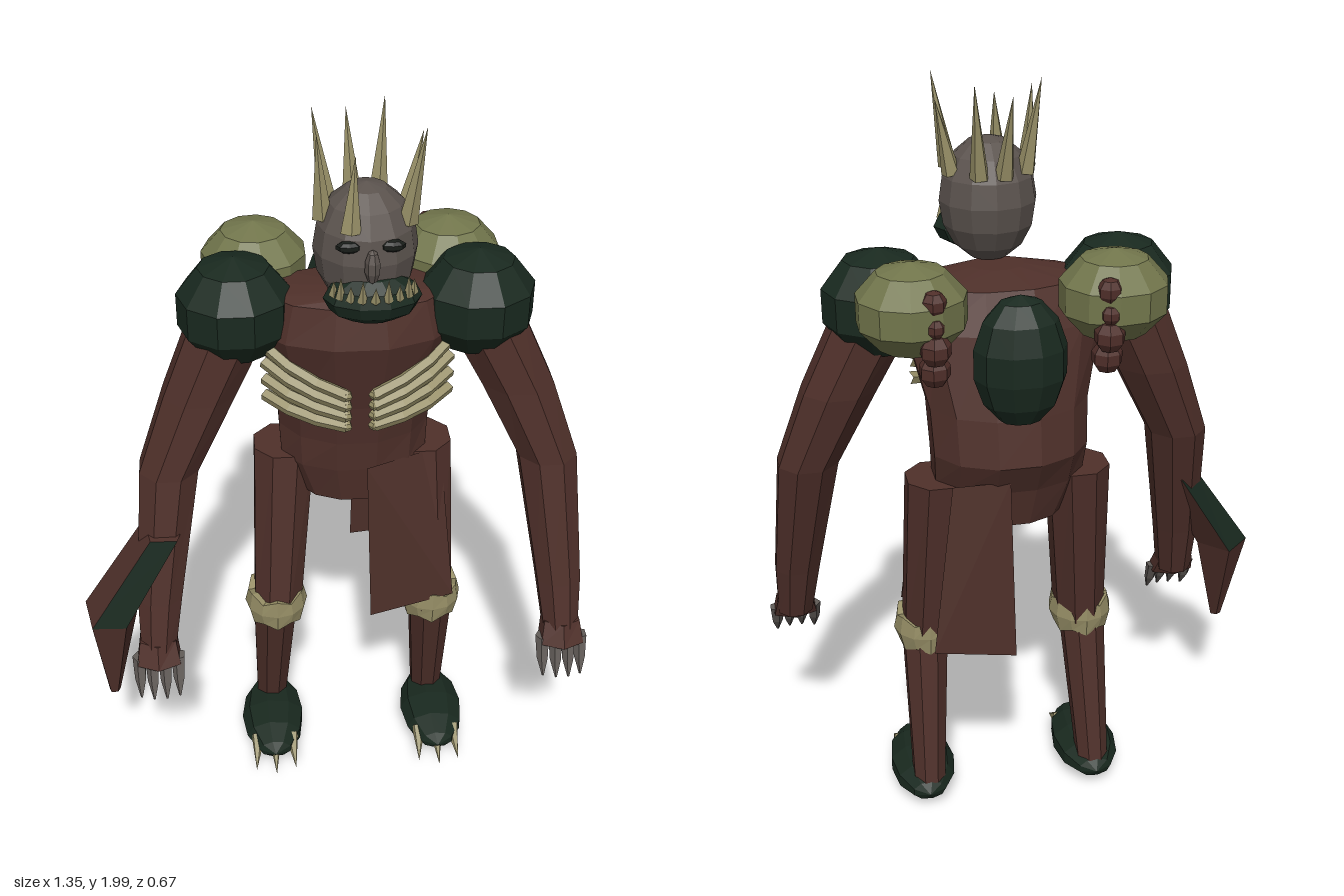
import * as THREE from 'three';

const mat = (name, color, extra = {}) => {
  const m = new THREE.MeshStandardMaterial({ color, flatShading: true, ...extra });
  m.name = name;
  return m;
};
const V = (x, y, z) => new THREE.Vector3(x, y, z);

export function createModel() {
  const hide = mat('brown hide', 0x4f302a);
  const cloth = mat('brown cloth', 0x4d2f29, { side: THREE.DoubleSide });
  const moss = mat('dark green', 0x19291f);
  const olive = mat('olive', 0x72764c);
  const bone = mat('bone', 0x968e66);
  const skull = mat('grey skin', 0x5b534e);
  const claw = mat('grey claw', 0x625c58);
  const red = mat('red brown', 0x4f2e29);
  const dark = mat('dark eye', 0x181c18);

  const model = new THREE.Group();
  const body = new THREE.Group();
  body.name = 'body';
  body.position.x = 0.08;
  body.rotation.y = -0.13;
  model.add(body);

  const add = (name, geo, material) => {
    const mesh = new THREE.Mesh(geo, material);
    mesh.name = name;
    body.add(mesh);
    return mesh;
  };

  // Faceted ellipsoid
  const ball = (name, material, [x, y, z], [rx, ry, rz], w = 10, h = 6) => {
    const m = add(name, new THREE.SphereGeometry(1, w, h), material);
    m.position.set(x, y, z);
    m.scale.set(rx, ry, rz);
    return m;
  };

  // Cone from a base point to a tip
  const spike = (name, material, from, to, r, sides = 5) => {
    const d = to.clone().sub(from);
    const m = add(name, new THREE.ConeGeometry(r, d.length(), sides), material);
    m.position.copy(from).addScaledVector(d, 0.5);
    m.quaternion.setFromUnitVectors(V(0, 1, 0), d.normalize());
    return m;
  };

  // Closed loft through level rings [x, y, z, rx, rz], listed bottom to top
  const loft = (name, material, rings, sides = 8, turn = 0, paint = () => 0) => {
    const pts = rings.map(([x, y, z, rx, rz]) => Array.from({ length: sides }, (_, j) => {
      const a = ((j + 0.5) / sides) * Math.PI * 2 + turn;
      return V(x + rx * Math.cos(a), y, z + rz * Math.sin(a));
    }));
    const buckets = [[], []];
    const last = rings.length - 1;
    const mid = (i) => V(rings[i][0], rings[i][1], rings[i][2]);
    for (let j = 0; j < sides; j++) {
      const k = (j + 1) % sides;
      for (let i = 0; i < last; i++) {
        const [b0, b1, t0, t1] = [pts[i][j], pts[i][k], pts[i + 1][j], pts[i + 1][k]];
        buckets[paint(i, j)].push(b0, t0, b1, b1, t0, t1);
      }
      buckets[0].push(mid(0), pts[0][j], pts[0][k], mid(last), pts[last][k], pts[last][j]);
    }
    const geo = new THREE.BufferGeometry().setFromPoints(buckets.flat());
    if (Array.isArray(material)) {
      geo.addGroup(0, buckets[0].length, 0);
      geo.addGroup(buckets[0].length, buckets[1].length, 1);
    }
    geo.computeVertexNormals();
    return add(name, geo, material);
  };

  // Torso, rising slightly to meet the head
  loft('torso', hide, [
    [0, 0.9, -0.06, 0.15, 0.11],
    [0, 1.01, -0.065, 0.2, 0.135],
    [0, 1.1, -0.085, 0.205, 0.165],
    [0, 1.22, -0.065, 0.21, 0.165],
    [0, 1.42, -0.01, 0.26, 0.16],
    [0, 1.52, 0, 0.23, 0.125],
    [0, 1.54, 0.04, 0.07, 0.06],
  ], 12);

  // Loincloth panels, front and back
  const panel = (name, corners) => {
    const geo = new THREE.BufferGeometry().setFromPoints(
      [0, 2, 1, 0, 3, 2].map((i) => V(...corners[i])));
    geo.computeVertexNormals();
    add(name, geo, cloth);
  };
  panel('frontCloth', [[0.025, 1.03, 0.09], [0.235, 1.015, -0.02], [0.275, 0.575, 0.075], [0.04, 0.545, 0.115]]);
  panel('backCloth', [[0.02, 1.05, -0.215], [0.165, 1.04, -0.195], [0.23, 0.585, -0.24], [0.015, 0.555, -0.25]]);

  // Hump on the back
  ball('backHump', moss, [0, 1.385, -0.24], [0.118, 0.168, 0.09], 10, 7);

  for (const s of [-1, 1]) {
    // Shoulder pads, back growths and their hanging beads
    ball('shoulderPad', moss, [s * 0.303, 1.475, 0], [0.152, 0.14, 0.147], 10, 5);
    ball('backGrowth', olive, [s * 0.248, 1.512, -0.167], [0.142, 0.116, 0.14], 11, 5);
    [[1.555, 0.032, -0.268], [1.5, 0.025, -0.28], [1.445, 0.04, -0.275], [1.385, 0.04, -0.255]]
      .forEach(([y, r, z]) => ball('bead', red, [s * 0.21, y, z], [r, r * 1.05, r], 7, 5));

    // Ribs
    for (let i = 0; i < 4; i++) {
      const y0 = 1.39 - i * 0.048;
      const y1 = 1.29 - i * 0.03;
      const path = new THREE.QuadraticBezierCurve3(
        V(s * 0.235, y0, 0.045), V(s * 0.16, (y0 + y1) / 2 - 0.005, 0.12), V(s * 0.035, y1, 0.14));
      add('rib', new THREE.TubeGeometry(path, 3, 0.017, 5), bone);
      ball('ribEnd', bone, [s * 0.035, y1, 0.14], [0.016, 0.014, 0.016], 5, 4);
    }

    // Arms, the left one held slightly wider
    const out = s > 0 ? 0.014 : 0;
    const hx = s * 0.55 + out;
    loft('arm', hide, [
      [hx, 0.52, 0.175, 0.05, 0.054],
      [s * 0.537 + out, 0.68, 0.135, 0.064, 0.062],
      [s * 0.492 + out, 1.04, 0.045, 0.083, 0.088],
      [s * 0.402 + out, 1.25, 0.015, 0.1, 0.1],
      [s * 0.31, 1.46, 0, 0.11, 0.102],
    ], 8);

    // Hands with four thick clawed fingers
    loft('hand', hide, [
      [hx, 0.5, 0.2, 0.068, 0.05],
      [hx, 0.56, 0.17, 0.056, 0.052],
    ], 6);
    for (let i = 0; i < 4; i++) {
      const x = hx + (i - 1.5) * 0.035;
      const z = 0.215 - Math.abs(i - 1.5) * 0.01;
      loft('finger', claw, [
        [x, 0.41, z + 0.05, 0.003, 0.003],
        [x, 0.455, z + 0.025, 0.016, 0.016],
        [x, 0.515, z, 0.02, 0.022],
      ], 5);
    }

    // Legs
    loft('thigh', hide, [
      [s * 0.215, 0.52, 0, 0.07, 0.088],
      [s * 0.185, 1.02, -0.075, 0.087, 0.09],
    ], 8);
    loft('shin', hide, [
      [s * 0.237, 0.09, -0.095, 0.046, 0.054],
      [s * 0.222, 0.53, 0, 0.065, 0.078],
    ], 8);

    // Ragged knee wraps
    const wrap = new THREE.CylinderGeometry(0.079, 0.075, 0.08, 12, 2);
    const p = wrap.attributes.position;
    for (let i = 0; i < p.count; i++) {
      const [x, y, z] = [p.getX(i), p.getY(i), p.getZ(i)];
      const step = Math.round((Math.atan2(z, x) / Math.PI) * 6 + 12) % 2;
      if (Math.abs(y) < 0.01) p.setXYZ(i, x * 1.14, y, z * 1.18);
      else p.setXYZ(i, x, y * (step ? 1.3 : 0.9), z * 1.12);
    }
    add('kneeWrap', wrap, bone).position.set(s * 0.219, 0.53, 0);

    // Feet with three toe claws
    const fx = s * 0.237 + out / 2;
    const foot = ball('foot', moss, [fx, 0.066, 0], [0.093, 0.165, 0.06], 9, 6);
    foot.rotation.x = Math.PI / 2;
    for (let i = -1; i <= 1; i++) {
      const x = fx + i * 0.05;
      spike('toeClaw', bone, V(x, 0.078, 0.095), V(x + i * 0.008, 0.03, 0.208 - Math.abs(i) * 0.02), 0.021);
    }

    // Eyes
    ball('eye', dark, [0.01 + s * 0.05, 1.735, 0.212], [0.032, 0.015, 0.017], 8, 5);
  }

  // Head, nose and jaw
  ball('head', skull, [0.008, 1.69, 0.11], [0.125, 0.16, 0.125], 12, 8);
  ball('nose', skull, [0.012, 1.695, 0.237], [0.019, 0.043, 0.022], 7, 5);
  ball('jaw', moss, [0.018, 1.598, 0.195], [0.117, 0.062, 0.073], 10, 6);
  for (let i = -4; i <= 4; i++) {
    const a = i * 0.3;
    const [x, z] = [0.018 + Math.sin(a) * 0.1, 0.192 + Math.cos(a) * 0.066];
    spike('tooth', bone, V(x, 1.615, z), V(x, i % 2 ? 1.672 : 1.655, z + 0.006), 0.012, 4);
  }

  // Crown of uneven spikes, as tip offsets from the head's axis [x, z, height]
  [[-0.12, -0.08, 2], [-0.035, -0.15, 1.97], [0.055, -0.139, 2], [0.135, -0.046, 1.95],
    [0.128, 0.06, 2], [-0.032, 0.067, 1.94], [-0.115, 0.007, 1.97]].forEach(([x, z, y]) => {
    const k = 0.102 / Math.hypot(x, z);
    spike('crownSpike', bone, V(0.008 + x * k, 1.765, 0.11 + z * k), V(0.008 + x, y, 0.11 + z), 0.025);
  });

  // Five-sided blade on the right forearm, with alternate upper faces green
  loft('forearmBlade', [hide, moss], [
    [-0.685, 0.35, 0.15, 0.016, 0.014],
    [-0.672, 0.63, 0.13, 0.077, 0.103],
    [-0.512, 0.885, 0.1, 0.06, 0.09],
  ], 5, 0.35, (i, j) => (i === 1 && j % 2 === 0 ? 1 : 0));

  return model;
}
